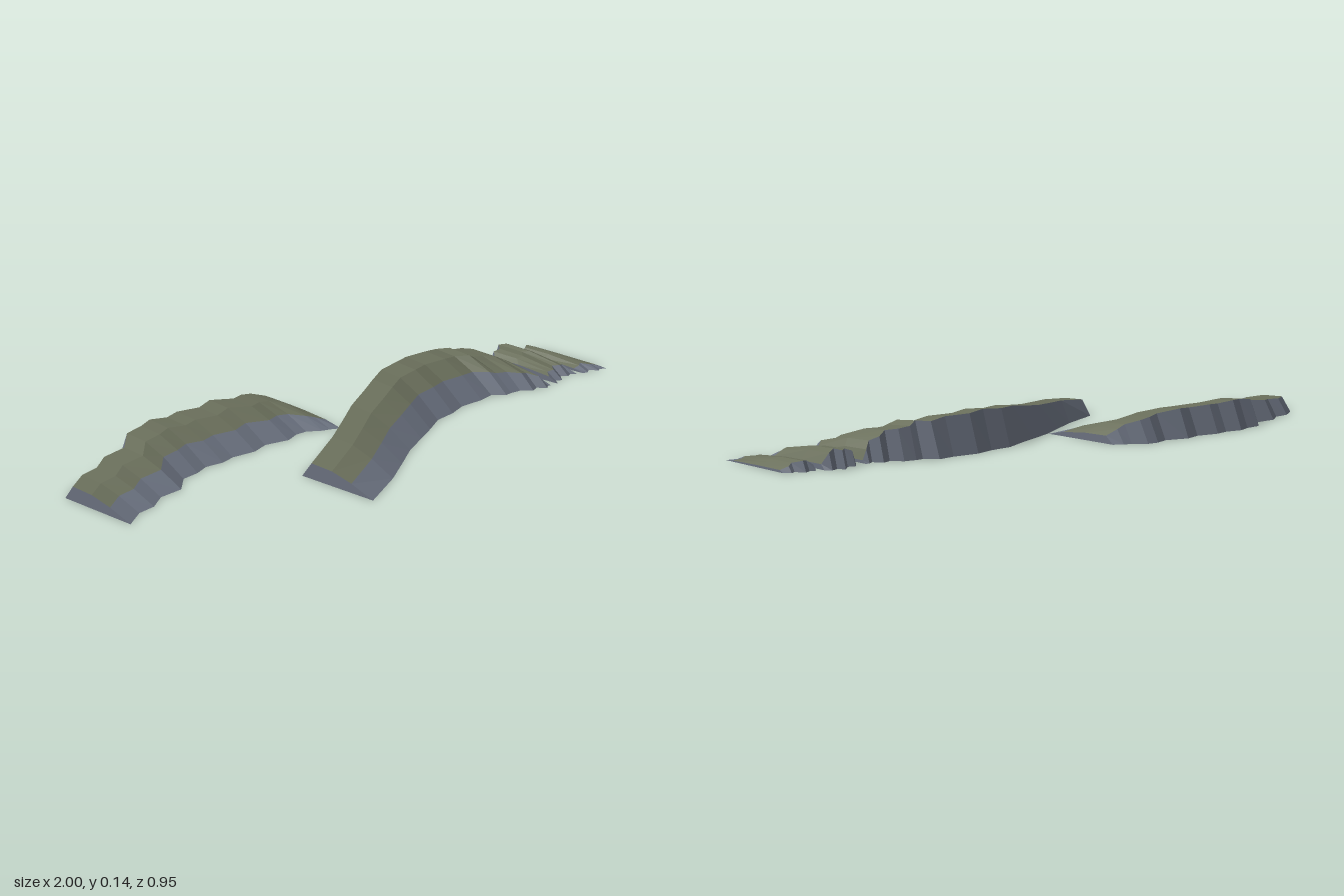
import * as THREE from 'three';

const moss = new THREE.MeshStandardMaterial({ color: 0x6b705c });
moss.name = 'mossGreen';
const rock = new THREE.MeshStandardMaterial({ color: 0x6b7280 });
rock.name = 'slateRock';

// Cross-sections as [z offset from back foot, fraction of crest height].
const broad = [[0, 0], [0.04, 1], [0.125, 0.93], [0.205, 0.58], [0.292, 0]];
const narrow = [[0, 0], [0.015, 1], [0.12, 0.93], [0.255, 0.55], [0.295, 0]];

// Stations along each ridge: [x, back foot z, crest height, narrowness 0..1].
const ridges = {
  frontRidge: [
    [-0.415, 0.11, 0.058, 0], [-0.25, 0.07, 0.08, 0], [-0.14, 0.03, 0.09, 0],
    [-0.04, -0.008, 0.1, 0], [0.06, -0.03, 0.113, 0], [0.14, -0.048, 0.126, 0],
    [0.22, -0.07, 0.13, 0], [0.3, -0.06, 0.137, 0], [0.37, -0.066, 0.132, 0],
    [0.46, -0.04, 0.131, 0], [0.52, -0.035, 0.122, 0], [0.555, 0.008, 0.125, 0.2],
    [0.58, 0.012, 0.11, 0.4], [0.62, 0.027, 0.105, 0.5], [0.65, 0.065, 0.1, 0.7],
    [0.68, 0.06, 0.085, 0.8], [0.7, 0.095, 0.07, 1], [0.72, 0.085, 0.045, 1],
    [0.732, 0.09, 0.01, 1],
  ],
  backRidge: [
    [-1, -0.4, 0.054, 0], [-0.93, -0.43, 0.058, 0], [-0.87, -0.423, 0.063, 0],
    [-0.81, -0.45, 0.07, 0], [-0.73, -0.435, 0.078, 0], [-0.67, -0.48, 0.095, 0],
    [-0.61, -0.472, 0.102, 0], [-0.56, -0.48, 0.105, 0], [-0.5, -0.456, 0.098, 0],
    [-0.45, -0.456, 0.101, 0], [-0.37, -0.425, 0.097, 0], [-0.31, -0.43, 0.102, 0],
    [-0.23, -0.39, 0.09, 0], [-0.18, -0.397, 0.085, 0], [-0.14, -0.385, 0.078, 0.1],
    [-0.1, -0.345, 0.065, 0.3], [-0.075, -0.33, 0.05, 0.4], [-0.045, -0.305, 0.028, 0.4],
  ],
  nearFragment: [
    [0.76, 0.105, 0.035, 1], [0.78, 0.085, 0.05, 1], [0.8, 0.1, 0.058, 1],
    [0.83, 0.075, 0.06, 1], [0.845, 0.1, 0.065, 1], [0.868, 0.095, 0.055, 1],
    [0.885, 0.115, 0.018, 1],
  ],
  farFragment: [
    [0.905, 0.13, 0.018, 1], [0.925, 0.14, 0.033, 1], [0.945, 0.132, 0.036, 1],
    [0.965, 0.165, 0.028, 1], [0.98, 0.16, 0.02, 1], [1, 0.18, 0.008, 1],
  ],
};

function section([x, z, h, n]) {
  return broad.map(([oz, fy], i) => new THREE.Vector3(
    x,
    h * THREE.MathUtils.lerp(fy, narrow[i][1], n),
    z + THREE.MathUtils.lerp(oz, narrow[i][0], n),
  ));
}

// Unshared triangles give every facet its own flat normal.
function facetMesh(name, points, material) {
  const geometry = new THREE.BufferGeometry().setFromPoints(points);
  geometry.computeVertexNormals();
  const mesh = new THREE.Mesh(geometry, material);
  mesh.name = name;
  return mesh;
}

function buildRidge(name, stations) {
  const rows = stations.map(section);
  const count = broad.length;
  const green = [];
  const grey = [];

  // Long faces: back cliff, two mossy slopes, front scree and underside.
  for (let i = 0; i < rows.length - 1; i++) {
    for (let j = 0; j < count; j++) {
      const k = (j + 1) % count;
      const a = rows[i][j], b = rows[i][k], c = rows[i + 1][k], d = rows[i + 1][j];
      const target = j === 1 || j === 2 ? green : grey;
      target.push(a, b, c, a, c, d);
    }
  }

  // End caps.
  const first = rows[0];
  const last = rows[rows.length - 1];
  for (let j = 1; j < count - 1; j++) {
    grey.push(first[0], first[j + 1], first[j]);
    grey.push(last[0], last[j], last[j + 1]);
  }

  const group = new THREE.Group();
  group.name = name;
  group.add(facetMesh('mossySlope', green, moss), facetMesh('rockBody', grey, rock));
  return group;
}

export function createModel() {
  const model = new THREE.Group();
  model.name = 'rockRidges';
  for (const [name, stations] of Object.entries(ridges)) {
    model.add(buildRidge(name, stations));
  }
  return model;
}
